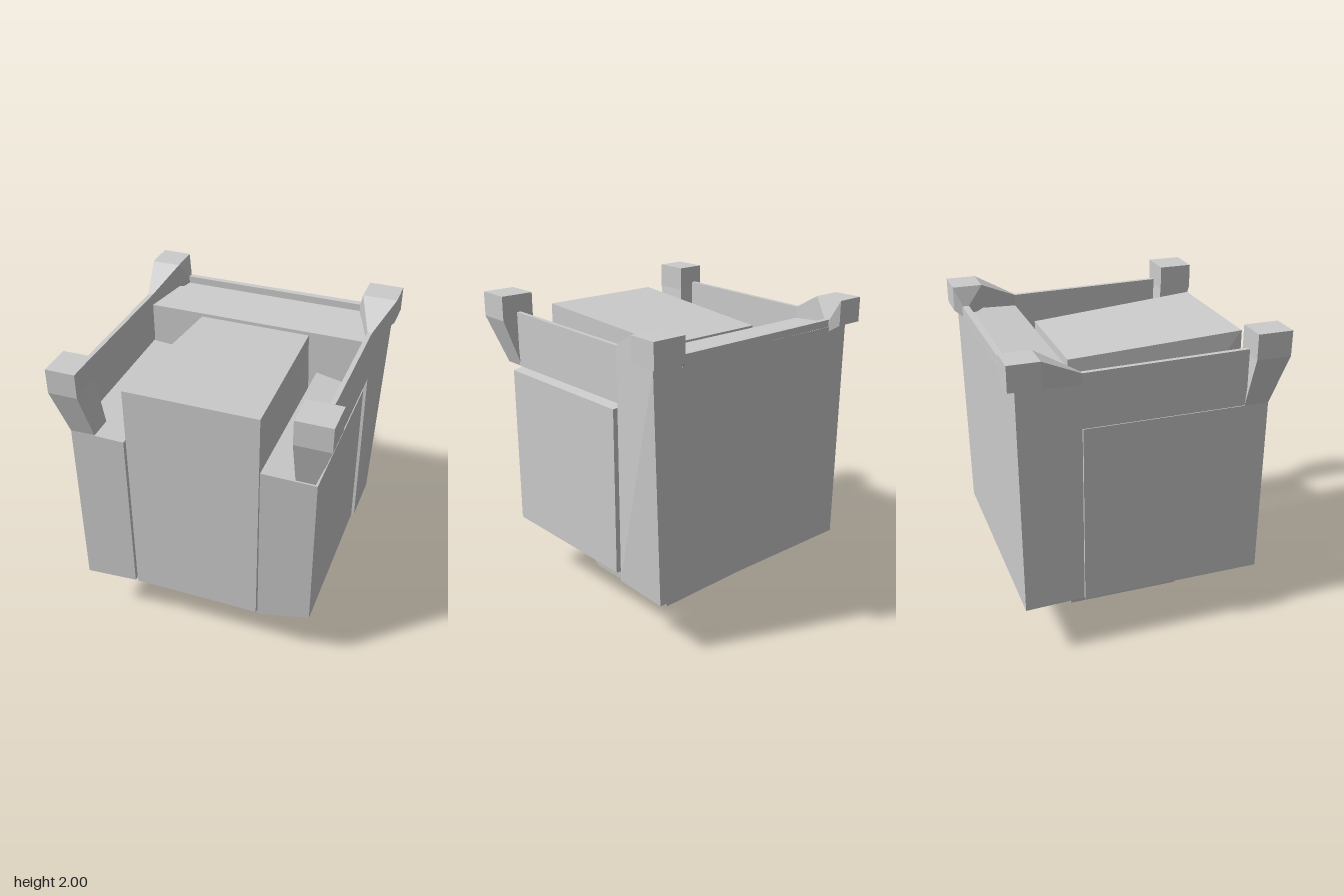
import * as THREE from 'three';

const material = new THREE.MeshStandardMaterial({ color: 0xcccccc, flatShading: true });

// Flat-sided block lofted along an axis between two rectangular sections.
// A section is [position, uMin, uMax, vMin, vMax], where u and v are the two
// other axes in x, y, z order. An optional tweak moves single corners.
function loft(name, axis, a, b, tweak) {
  const geometry = new THREE.BoxGeometry(2, 2, 2).toNonIndexed();
  const pos = geometry.attributes.position;
  const [u, v] = [0, 1, 2].filter((i) => i !== axis);
  for (let i = 0; i < pos.count; i++) {
    const sign = [pos.getX(i), pos.getY(i), pos.getZ(i)];
    const s = sign[axis] < 0 ? a : b;
    const p = [0, 0, 0];
    p[axis] = s[0];
    p[u] = sign[u] < 0 ? s[1] : s[2];
    p[v] = sign[v] < 0 ? s[3] : s[4];
    if (tweak) tweak(p, sign);
    pos.setXYZ(i, ...p);
  }
  geometry.computeVertexNormals();
  const mesh = new THREE.Mesh(geometry, material);
  mesh.name = name;
  return mesh;
}

const X = 0, Y = 1, Z = 2;

export function createModel() {
  const model = new THREE.Group();
  model.name = 'blockTower';

  // Central block: its roof narrows and drops towards the back
  model.add(loft('centreBlock', Y,
    [0.355, -0.44, 0.405, -0.405, 0.755],
    [1.875, -0.445, 0.41, -0.38, 0.745],
    (p, s) => {
      if (s[1] > 0 && s[2] < 0) {
        p[0] = s[0] < 0 ? -0.39 : 0.36;
        p[1] = 1.8;
      }
    }));

  // Tapered base under the central block, sloping back at the front
  model.add(loft('base', Y,
    [0.01, -0.39, 0.36, -0.39, 0.37],
    [0.355, -0.44, 0.405, -0.405, 0.745],
    (p, s) => { if (s[1] < 0) p[1] = s[0] < 0 ? 0.025 : 0; }));

  // Side blocks: the right one flares outwards, the left one narrows
  model.add(loft('rightBlock', X,
    [-0.8, 0.345, 1.527, -0.415, 0.77],
    [-0.455, 0.357, 1.51, -0.4, 0.757]));
  model.add(loft('leftBlock', X,
    [0.42, 0.355, 1.515, -0.405, 0.765],
    [0.755, 0.39, 1.475, -0.365, 0.72]));

  // Back slab, leaning outwards at its upper left corner
  model.add(loft('backSlab', Z,
    [-0.81, -0.8, 0.82, 0.345, 1.83],
    [-0.42, -0.8, 0.765, 0.357, 1.8],
    (p, s) => {
      if (s[2] < 0 && s[1] < 0) {
        p[2] = -0.8;
        if (s[0] > 0) p[0] = 0.765;
      }
    }));

  // Parapet walls
  model.add(loft('rightWall', Z,
    [-0.42, -0.8, -0.77, 1.53, 1.875],
    [0.62, -0.8, -0.77, 1.53, 1.89]));
  model.add(loft('leftWall', Z,
    [-0.42, 0.735, 0.765, 1.53, 1.875],
    [0.62, 0.735, 0.765, 1.53, 1.89]));
  model.add(loft('backWall', X,
    [-0.65, 1.8, 1.875, -0.805, -0.77],
    [0.61, 1.8, 1.875, -0.815, -0.77]));

  // Corner posts: a cap, with a bracket tapering into the building
  const corners = [
    { side: 'right', cap: [-0.865, -0.675], foot: [-0.8, -0.64], wall: [-0.8, -0.77] },
    { side: 'left', cap: [0.635, 0.86], foot: [0.635, 0.755], wall: [0.735, 0.765] },
  ];
  for (const { side, cap, foot, wall } of corners) {
    const front = new THREE.Group();
    front.name = side + 'FrontPost';
    front.add(
      loft('cap', Y, [1.84, ...cap, 0.637, 0.86], [2, ...cap, 0.637, 0.86]),
      loft('bracket', Y, [1.527, ...foot, 0.61, 0.77], [1.84, ...cap, 0.637, 0.86]));

    const back = new THREE.Group();
    back.name = side + 'BackPost';
    const capEnd = [1.84, 2, -0.865, -0.67];
    const wallEnd = [1.8, 1.875, -0.81, -0.77];
    back.add(
      loft('cap', Y, [1.84, ...cap, -0.865, -0.67], [2, ...cap, -0.865, -0.67]),
      loft('sideBracket', Z, [-0.67, ...cap, 1.84, 2], [-0.42, ...wall, 1.8, 1.875]),
      side === 'right'
        ? loft('backBracket', X, [-0.675, ...capEnd], [-0.64, ...wallEnd])
        : loft('backBracket', X, [0.6, ...wallEnd], [0.635, ...capEnd]));
    model.add(front, back);
  }
  return model;
}
